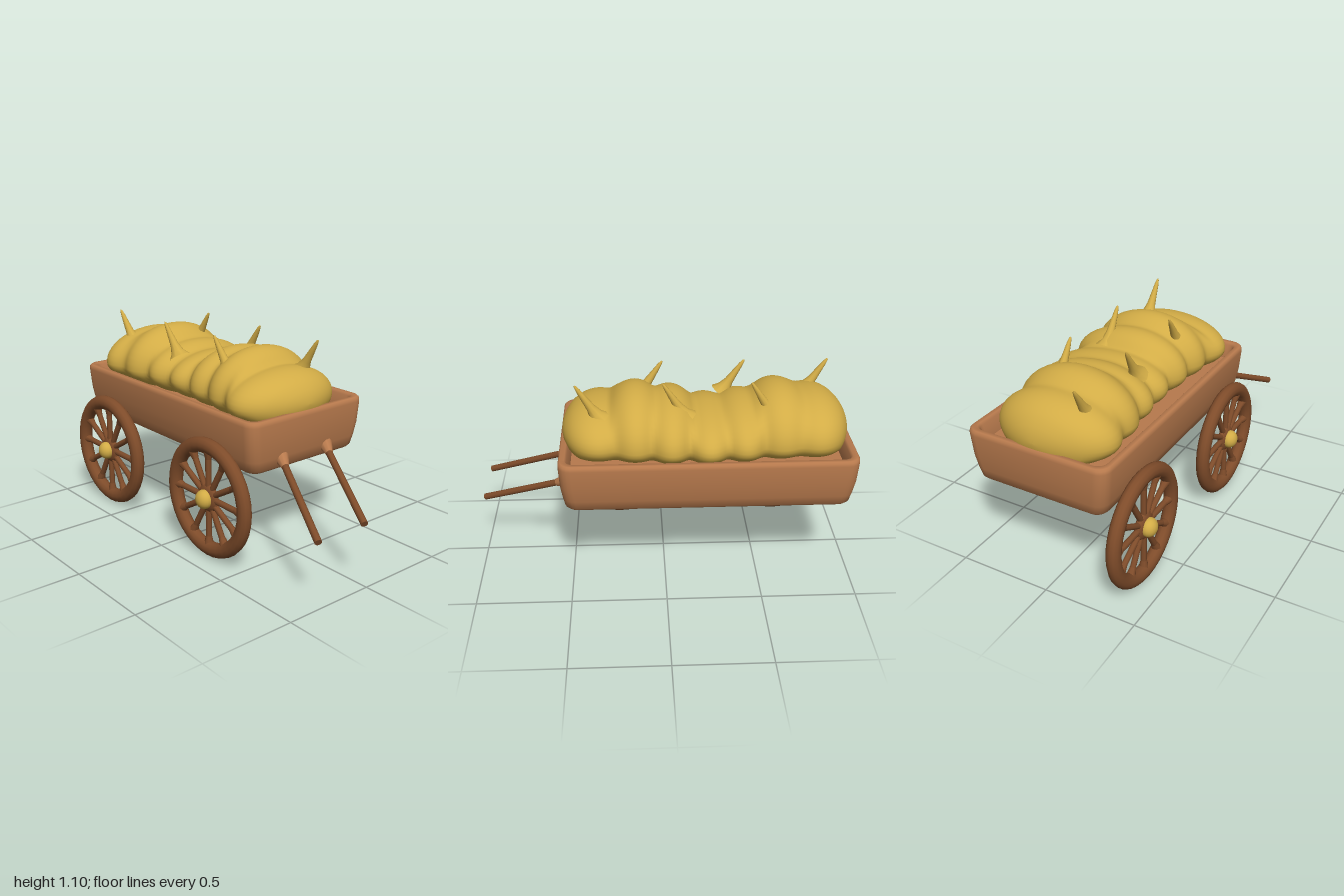
import * as THREE from 'three';
import { toCreasedNormals } from 'three/addons/utils/BufferGeometryUtils.js';

const mat = (name, color) => {
  const m = new THREE.MeshStandardMaterial({ color });
  m.name = name;
  return m;
};

// Skin a list of closed rings (counter-clockwise about the loft direction), capped at both ends
function loft(rings) {
  const n = rings[0].length, pos = [], idx = [];
  rings.forEach(r => r.forEach(p => pos.push(...p)));
  for (let i = 0; i < rings.length - 1; i++) {
    for (let j = 0; j < n; j++) {
      const a = i * n + j, b = i * n + (j + 1) % n;
      idx.push(a, b, b + n, a, b + n, a + n);
    }
  }
  const last = (rings.length - 1) * n;
  for (let j = 1; j < n - 1; j++) {
    idx.push(0, j + 1, j);
    idx.push(last, last + j, last + j + 1);
  }
  const g = new THREE.BufferGeometry();
  g.setAttribute('position', new THREE.Float32BufferAttribute(pos, 3));
  g.setIndex(idx);
  g.computeVertexNormals();
  return g;
}

// Horizontal rounded rectangle
function roundedRing(cx, cz, y, hx, hz, r) {
  const pts = [];
  for (let q = 0; q < 4; q++) {
    const sx = q === 0 || q === 3 ? 1 : -1, sz = q < 2 ? -1 : 1;
    for (let k = 0; k <= 5; k++) {
      const a = (q + k / 5) * Math.PI / 2;
      pts.push([cx + sx * (hx - r) + r * Math.cos(a), y, cz + sz * (hz - r) - r * Math.sin(a)]);
    }
  }
  return pts;
}

// Round bar between two points; r1 at the end, r0 at the start
function bar(from, to, r0, r1, material, name, sides = 10) {
  const a = new THREE.Vector3(...from), b = new THREE.Vector3(...to), d = b.clone().sub(a);
  const m = new THREE.Mesh(new THREE.CylinderGeometry(r1, r0, d.length(), sides), material);
  m.position.copy(a).add(b).multiplyScalar(0.5);
  m.quaternion.setFromUnitVectors(new THREE.Vector3(0, 1, 0), d.normalize());
  m.name = name;
  return m;
}

export function createModel() {
  const root = new THREE.Group();
  root.name = 'hayCart';
  const tubWood = mat('light wood', 0xb87a4d);
  const darkWood = mat('dark wood', 0x7f4c2a);
  const straw = mat('straw', 0xd2ac46);
  const add = (parent, geometry, material, name) => {
    const m = new THREE.Mesh(geometry, material);
    m.name = name;
    parent.add(m);
    return m;
  };

  // Cart body: outside, rim, inside, floor as [y, half length, half width, corner radius]
  const body = [
    [0.505, 0.715, 0.34, 0.05], [0.52, 0.73, 0.355, 0.06], [0.57, 0.74, 0.369, 0.065],
    [0.64, 0.75, 0.38, 0.065], [0.755, 0.755, 0.39, 0.065], [0.772, 0.753, 0.388, 0.065],
    [0.78, 0.745, 0.38, 0.06], [0.78, 0.722, 0.357, 0.05], [0.768, 0.712, 0.347, 0.045],
    [0.69, 0.70, 0.333, 0.04],
  ].map(([y, hx, hz, r]) => roundedRing(-0.215, -0.05, y, hx, hz, r));
  add(root, toCreasedNormals(loft(body), 0.9), tubWood, 'cartBody');

  // Hay: a row of swelling lobes as [x, radius along x, front width, back width, height]
  const lobes = [
    [-0.77, 0.19, 0.345, 0.295, 0.185], [-0.59, 0.19, 0.33, 0.305, 0.23],
    [-0.40, 0.16, 0.305, 0.335, 0.165], [-0.22, 0.16, 0.29, 0.355, 0.14],
    [-0.03, 0.16, 0.30, 0.345, 0.20], [0.15, 0.17, 0.315, 0.32, 0.23],
    [0.335, 0.195, 0.345, 0.295, 0.155],
  ];
  const swell = (x, k) => Math.pow(lobes.reduce((sum, l) => {
    const t = 1 - ((x - l[0]) / l[1]) ** 2;
    return t > 0 ? sum + Math.pow(l[k] * Math.sqrt(t), 12) : sum;
  }, 0), 1 / 12);
  const hay = [], stations = 110, around = 40;
  for (let i = 0; i <= stations; i++) {
    const u = i / stations;
    // Stations crowd together at the two ends
    const s = 0.75 * u + 0.25 * (1 - Math.cos(Math.PI * u)) / 2;
    const e = u < 0.04 ? u / 0.04 : u > 0.96 ? (1 - u) / 0.04 : 1;
    const x = -0.9599 + 1.4898 * (e < 1 ? (u < 0.5 ? s * e : 1 - (1 - s) * e) : s);
    const front = swell(x, 2), back = swell(x, 3), h = swell(x, 4);
    const ring = [];
    for (let j = 0; j < around; j++) {
      const a = j / around * Math.PI * 2, c = Math.cos(a), z = Math.sin(a);
      ring.push([x, 0.805 + c * (c > 0 ? h : Math.min(h, 0.13)), -0.05 + z * (z > 0 ? front : back)]);
    }
    hay.push(ring);
  }
  add(root, loft(hay), straw, 'hayPile');

  // Straw spikes, the front row leaning one way and the back row the other
  const spikeProfile = [[0.06, 0], [0.036, 0.15], [0.023, 0.35], [0.017, 0.6], [0.011, 0.85], [0.006, 0.97], [0, 1]];
  const spike = (base, tip) => {
    const a = new THREE.Vector3(...base), d = new THREE.Vector3(...tip).sub(a), len = d.length();
    const g = new THREE.LatheGeometry(spikeProfile.map(([r, t]) => new THREE.Vector2(r, t * len)), 10);
    const m = add(root, g, straw, 'strawSpike');
    m.position.copy(a);
    m.quaternion.setFromUnitVectors(new THREE.Vector3(0, 1, 0), d.normalize());
  };
  for (const x of [-0.88, -0.435, 0]) spike([x + 0.12, 0.91, 0.125], [x, 1.09, 0.135]);
  for (const x of [-0.435, 0.01, 0.45]) spike([x - 0.12, 0.91, -0.175], [x, 1.1, -0.175]);

  // Two spoked wheels along the front side
  for (const x of [-0.68, 0.245]) {
    const wheel = new THREE.Group();
    wheel.name = 'wheel';
    wheel.position.set(x, 0.325, 0.37);
    const rim = add(wheel, new THREE.TorusGeometry(0.28, 0.04, 12, 36), darkWood, 'wheelRim');
    rim.scale.z = 0.9;
    for (let i = 0; i < 12; i++) {
      const a = i / 12 * Math.PI * 2, c = Math.cos(a), s = Math.sin(a);
      wheel.add(bar([c * 0.03, s * 0.03, 0], [c * 0.215, s * 0.215, 0], 0.016, 0.016, darkWood, 'spoke', 8));
      wheel.add(bar([c * 0.21, s * 0.21, 0], [c * 0.26, s * 0.26, 0], 0.016, 0.027, darkWood, 'spokeFoot', 8));
    }
    const hub = add(wheel, new THREE.SphereGeometry(0.075, 20, 12), darkWood, 'hub');
    hub.scale.z = 0.4;
    const cap = add(wheel, new THREE.SphereGeometry(0.05, 20, 14), straw, 'hubCap');
    cap.position.z = 0.03;
    cap.scale.z = 0.85;
    root.add(wheel);
  }

  // Pulling shafts with flared roots where they join the body
  for (const z of [0.115, -0.19]) {
    const at = t => [0.5 + 0.485 * t, 0.565 - 0.225 * t, z + 0.21 * t];
    root.add(bar(at(0.05), at(1), 0.018, 0.018, darkWood, 'shaft'));
    root.add(bar(at(0), at(0.14), 0.042, 0.02, tubWood, 'shaftRoot'));
  }
  return root;
}
